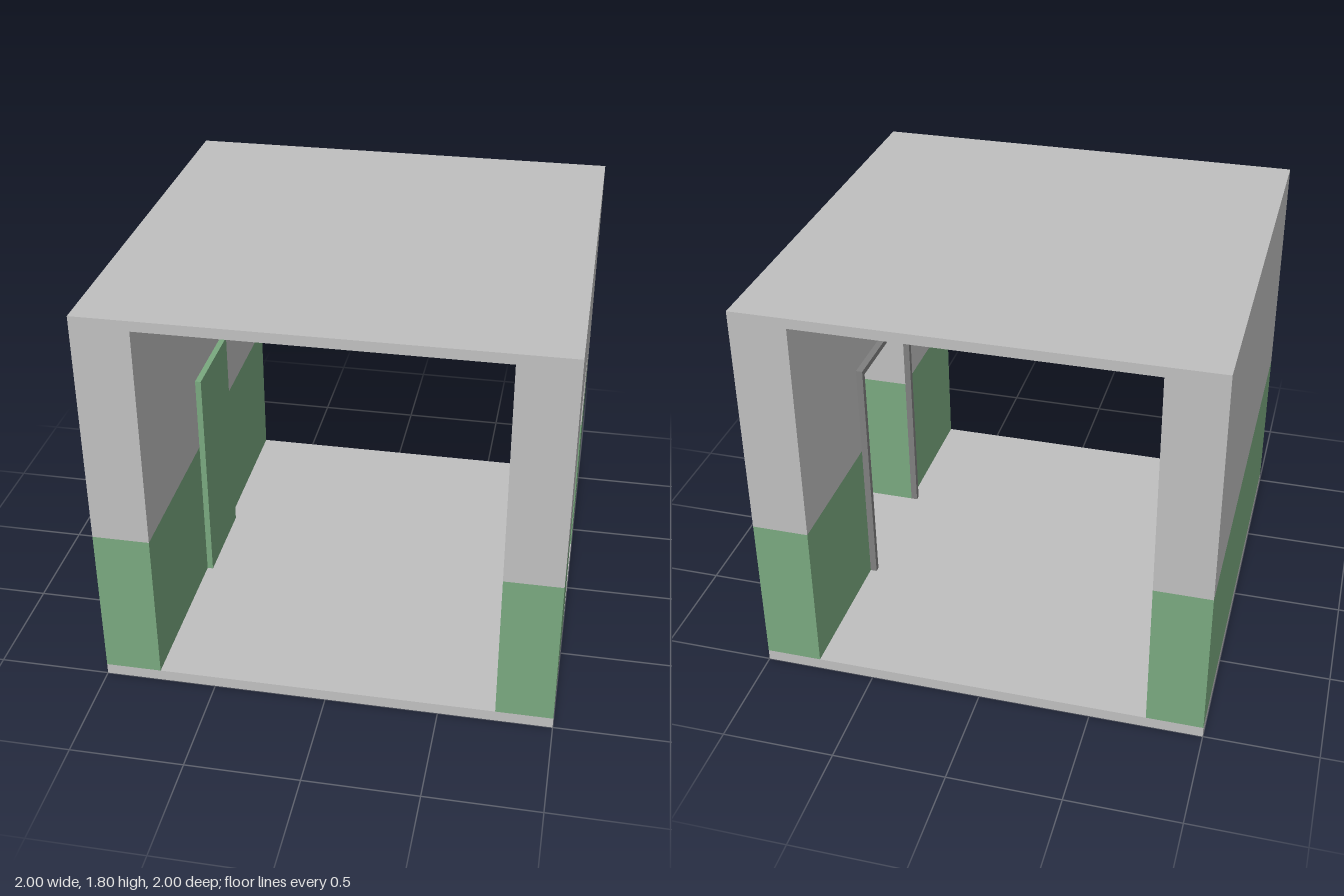
import * as THREE from 'three';

const grey = new THREE.MeshStandardMaterial({ color: 0xc1c1c1, name: 'plaster grey' });
const green = new THREE.MeshStandardMaterial({ color: 0x7aaa80, name: 'painted green' });
const dark = new THREE.MeshStandardMaterial({ color: 0x808080, name: 'frame grey' });

// Main levels and widths
const FLOOR = 0.05, PAINT = 0.75, CEILING = 1.755, TOP = 1.8;
const INNER = 0.75, DOOR_Z = 0.3, DOOR_TOP = 1.155;
const FULL = [-1, 1];

const ROTATIONS = {
  '+x': [0, Math.PI / 2, 0], '-x': [0, -Math.PI / 2, 0],
  '+y': [-Math.PI / 2, 0, 0], '-y': [Math.PI / 2, 0, 0],
  '+z': [0, 0, 0], '-z': [0, Math.PI, 0],
};

export function createModel() {
  const model = new THREE.Group();
  model.name = 'room';

  // One flat face: u, v are z, y for x faces; x, z for y faces; x, y for z faces
  function face(name, mat, facing, at, u, v) {
    const mesh = new THREE.Mesh(new THREE.PlaneGeometry(u[1] - u[0], v[1] - v[0]), mat);
    const cu = (u[0] + u[1]) / 2, cv = (v[0] + v[1]) / 2;
    mesh.rotation.set(...ROTATIONS[facing]);
    if (facing[1] === 'x') mesh.position.set(at, cv, cu);
    else if (facing[1] === 'y') mesh.position.set(cu, at, cv);
    else mesh.position.set(cu, cv, at);
    mesh.name = name;
    model.add(mesh);
  }

  // Upright face split into grey base, green dado and grey upper wall
  function wall(name, facing, at, u, v) {
    const bands = [[0, FLOOR, grey, 'Base'], [FLOOR, PAINT, green, 'Dado'], [PAINT, TOP, grey, 'Upper']];
    for (const [y0, y1, mat, part] of bands) {
      const lo = Math.max(y0, v[0]), hi = Math.min(y1, v[1]);
      if (hi > lo) face(name + part, mat, facing, at, u, [lo, hi]);
    }
  }

  function box(name, mat, x, y, z) {
    const mesh = new THREE.Mesh(new THREE.BoxGeometry(x[1] - x[0], y[1] - y[0], z[1] - z[0]), mat);
    mesh.position.set((x[0] + x[1]) / 2, (y[0] + y[1]) / 2, (z[0] + z[1]) / 2);
    mesh.name = name;
    model.add(mesh);
  }

  // Floor and roof
  const across = [-INNER, INNER];
  face('floorUnderside', grey, '-y', 0, FULL, FULL);
  face('floor', grey, '+y', FLOOR, across, FULL);
  face('ceiling', grey, '-y', CEILING, across, FULL);
  face('roof', grey, '+y', TOP, FULL, FULL);

  // Open front and back ends
  for (const [facing, z] of [['+z', 1], ['-z', -1]]) {
    wall('rightWallEnd', facing, z, [-1, -INNER], [0, TOP]);
    wall('leftWallEnd', facing, z, [INNER, 1], [0, TOP]);
    face('floorEdge', grey, facing, z, across, [0, FLOOR]);
    face('roofEdge', grey, facing, z, across, [CEILING, TOP]);
  }

  // Solid wall
  wall('solidWallOutside', '-x', -1, FULL, [0, TOP]);
  wall('solidWallInside', '+x', -INNER, FULL, [FLOOR, CEILING]);

  // Wall with doorway
  const door = [-DOOR_Z, DOOR_Z];
  for (const [facing, x, y0, y1] of [['+x', 1, 0, TOP], ['-x', INNER, FLOOR, CEILING]]) {
    wall('doorWall', facing, x, [-1, -DOOR_Z], [y0, y1]);
    wall('doorWall', facing, x, [DOOR_Z, 1], [y0, y1]);
    wall('lintel', facing, x, door, [DOOR_TOP, y1]);
  }
  face('sillEdge', grey, '+x', 1, door, [0, FLOOR]);
  wall('backJamb', '+z', -DOOR_Z, [INNER, 1], [FLOOR, DOOR_TOP]);
  wall('frontJamb', '-z', DOOR_Z, [INNER, 1], [FLOOR, DOOR_TOP]);
  face('doorSoffit', grey, '-y', DOOR_TOP, [INNER, 1], door);
  face('threshold', grey, '+y', FLOOR, [INNER, 1], door);

  // Door frame on the inside of the doorway
  const w = 0.027, o = DOOR_Z + w;
  const outline = new THREE.Shape([
    [-o, FLOOR], [-DOOR_Z, FLOOR], [-DOOR_Z, DOOR_TOP], [DOOR_Z, DOOR_TOP],
    [DOOR_Z, FLOOR], [o, FLOOR], [o, DOOR_TOP + w], [-o, DOOR_TOP + w],
  ].map(([a, b]) => new THREE.Vector2(a, b)));
  const frame = new THREE.Mesh(
    new THREE.ExtrudeGeometry(outline, { depth: 0.03, bevelEnabled: false }), dark);
  frame.rotation.y = Math.PI / 2;
  frame.position.x = INNER - 0.03;
  frame.name = 'doorFrame';
  model.add(frame);

  // Green board on the solid wall
  box('wallBoard', green, [-INNER, -0.723], [FLOOR, 1.103], [-0.222, 0.222]);

  // Ceiling beam and the panel hung beneath it
  box('ceilingBeam', grey, across, [1.6, CEILING], [-0.04, 0.04]);
  box('ceilingPanel', grey, [-0.25, 0.25], [1.575, 1.6], [-0.45, 0.45]);

  return model;
}
